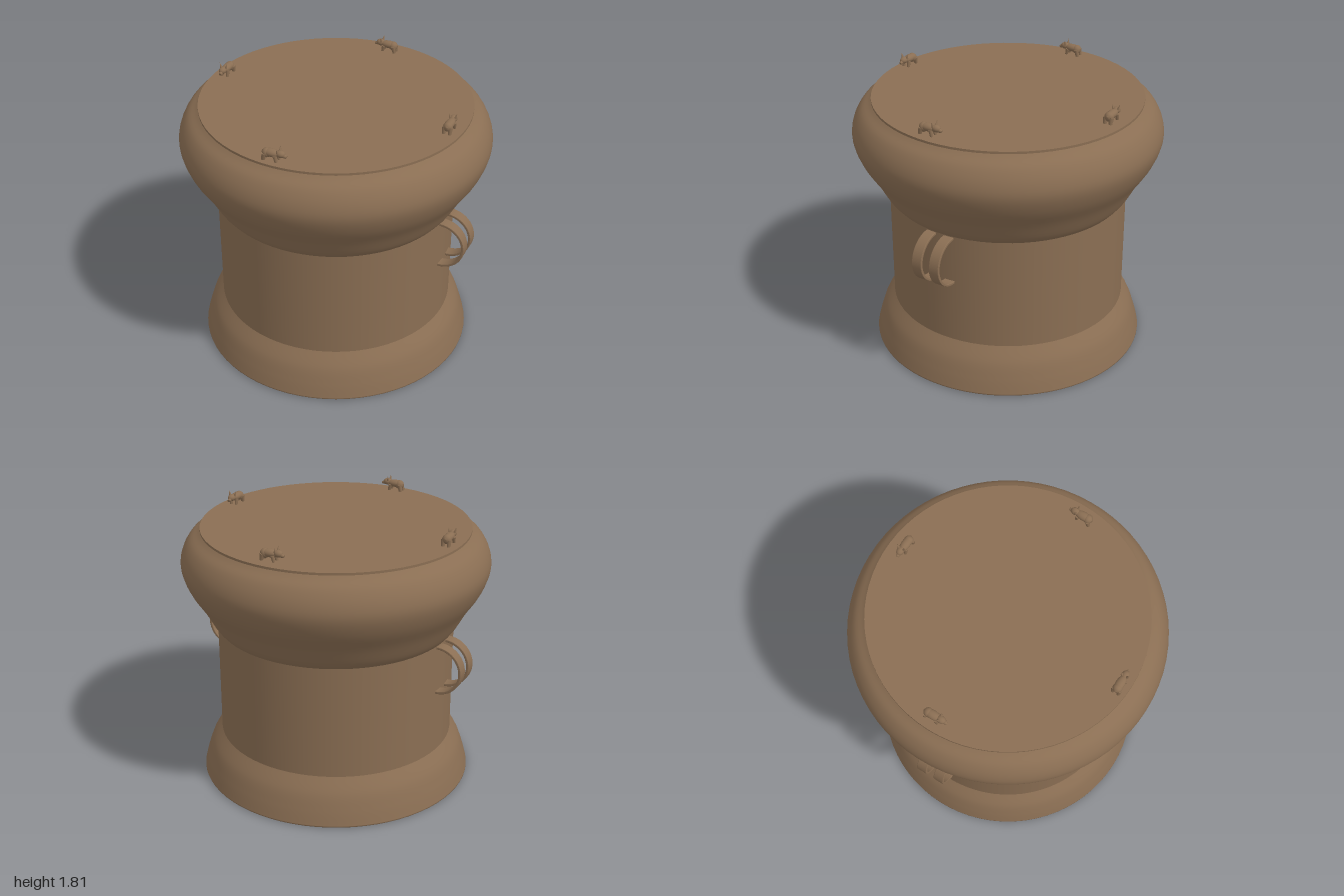
import * as THREE from 'three';

const bronze = new THREE.MeshStandardMaterial({ color: 0x8a6e53 });
bronze.name = 'aged bronze';

function add(parent, name, geometry, x = 0, y = 0, z = 0) {
  const mesh = new THREE.Mesh(geometry, bronze);
  mesh.name = name;
  mesh.position.set(x, y, z);
  parent.add(mesh);
  return mesh;
}

const SEGMENTS = 72;
const vectors = (pts) => pts.map(([r, y]) => new THREE.Vector2(r, y));
const lathe = (pts) => new THREE.LatheGeometry(vectors(pts), SEGMENTS);
const smoothLathe = (pts) =>
  new THREE.LatheGeometry(new THREE.SplineCurve(vectors(pts)).getPoints(28), SEGMENTS);

// Strap handle: half ring in the xy plane, its ends sunk into the wall
function strapGeometry() {
  const outer = 0.161, inner = 0.151, sunk = -0.025, width = 0.072, bevel = 0.004;
  const shape = new THREE.Shape();
  shape.moveTo(sunk, -outer);
  shape.lineTo(0, -outer);
  shape.absarc(0, 0, outer, -Math.PI / 2, Math.PI / 2, false);
  shape.lineTo(sunk, outer);
  shape.lineTo(sunk, inner);
  shape.lineTo(0, inner);
  shape.absarc(0, 0, inner, Math.PI / 2, -Math.PI / 2, true);
  shape.lineTo(sunk, -inner);
  shape.closePath();
  const geometry = new THREE.ExtrudeGeometry(shape, {
    depth: width - 2 * bevel, bevelEnabled: true, bevelThickness: bevel,
    bevelSize: bevel, bevelSegments: 2, curveSegments: 28,
  });
  return geometry.translate(0, 0, -width / 2 + bevel);
}

// Small animal standing on y = 0, facing +x, about 0.16 long
function createAnimal() {
  const animal = new THREE.Group();
  animal.name = 'rimAnimal';
  const ball = new THREE.SphereGeometry(1, 16, 12);

  const body = add(animal, 'body', ball, -0.02, 0.047, 0);
  body.scale.set(0.062, 0.025, 0.029);
  const rump = add(animal, 'rump', ball, -0.05, 0.042, 0);
  rump.scale.set(0.03, 0.03, 0.03);
  const head = add(animal, 'head', ball, 0.04, 0.052, 0);
  head.scale.set(0.03, 0.022, 0.024);
  const snout = add(animal, 'snout', new THREE.CylinderGeometry(0.009, 0.017, 0.034, 12), 0.063, 0.044, 0);
  snout.rotation.z = -Math.PI / 2 - 0.25;

  for (const side of [-1, 1]) {
    const ear = add(animal, 'ear', new THREE.ConeGeometry(0.009, 0.034, 8), 0.029, 0.08, side * 0.022);
    ear.rotation.x = side * 0.3;
    const hind = add(animal, 'hindLeg', new THREE.CylinderGeometry(0.016, 0.011, 0.045, 10), -0.062, 0.021, side * 0.019);
    hind.rotation.z = -0.2;
    const fore = add(animal, 'foreLeg', new THREE.CylinderGeometry(0.013, 0.009, 0.042, 10), 0.015, 0.02, side * 0.019);
    fore.rotation.z = 0.2;
  }
  return animal;
}

export function createModel() {
  const drum = new THREE.Group();
  drum.name = 'bronzeDrum';

  // Flared foot with closed underside
  add(drum, 'underside', lathe([[0, 0], [0.894, 0]]));
  add(drum, 'footRim', lathe([[0.894, 0], [0.9, 0.005], [0.9, 0.012]]));
  add(drum, 'foot', smoothLathe([[0.9, 0.012], [0.875, 0.105], [0.838, 0.205], [0.776, 0.3]]));

  // Straight waist and swelling shoulder
  add(drum, 'waist', lathe([[0.776, 0.3], [0.776, 1.055]]));
  add(drum, 'shoulder', smoothLathe([
    [0.776, 1.055], [0.815, 1.105], [0.878, 1.22], [0.955, 1.34], [0.997, 1.46],
    [0.985, 1.555], [0.94, 1.635], [0.885, 1.678], [0.86, 1.7],
  ]));

  // Striking plate
  add(drum, 'topPlate', new THREE.CylinderGeometry(0.868, 0.868, 0.015, SEGMENTS), 0, 1.7065, 0);

  // Two pairs of strap handles
  const strap = strapGeometry();
  for (const side of [1, -1]) {
    const pair = new THREE.Group();
    pair.name = side > 0 ? 'leftHandles' : 'rightHandles';
    for (const z of [-0.064, 0.064]) add(pair, 'strapHandle', strap, 0.774, 0.885, z);
    pair.rotation.y = side > 0 ? 0 : Math.PI;
    drum.add(pair);
  }

  // Four animals walking counter-clockwise around the plate: [x, z, turn]
  const places = [
    [-0.017, 0.805, 0],
    [0.782, 0.037, Math.PI / 2],
    [0.017, -0.765, Math.PI],
    [-0.788, 0.002, -Math.PI / 2],
  ];
  for (const [x, z, turn] of places) {
    const animal = createAnimal();
    animal.position.set(x, 1.713, z);
    animal.rotation.y = turn;
    drum.add(animal);
  }
  return drum;
}
